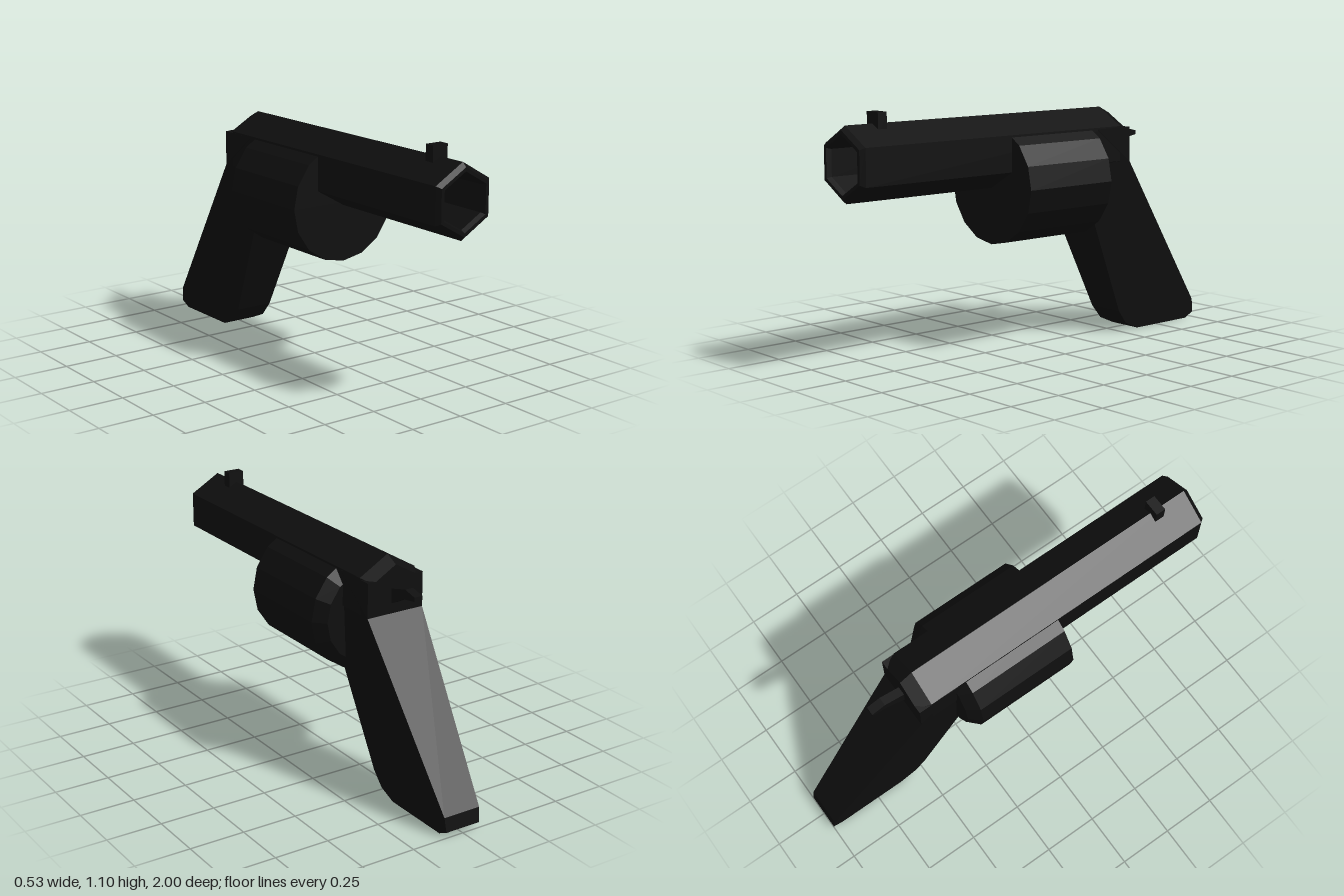
import * as THREE from 'three';

const metal = new THREE.MeshStandardMaterial({ color: 0x0e0e0e, flatShading: true });

function addPart(group, name, geometry) {
  const mesh = new THREE.Mesh(geometry, metal);
  mesh.name = name;
  group.add(mesh);
  return mesh;
}

// Faceted solid turned around the z axis; profile is [radius, z] from rear to front
function turned(profile, sides) {
  const points = profile.map(([r, z]) => new THREE.Vector2(r, z));
  return new THREE.LatheGeometry(points, sides).rotateX(Math.PI / 2);
}

// Side outline of [z, y] corners, extruded across x; halfWidth depends on height
function sideExtrude(outline, halfWidth) {
  const shape = new THREE.Shape(outline.map(([z, y]) => new THREE.Vector2(z, y)));
  const geo = new THREE.ExtrudeGeometry(shape, { depth: 2, bevelEnabled: false });
  geo.translate(0, 0, -1).rotateY(-Math.PI / 2);
  const pos = geo.attributes.position;
  for (let i = 0; i < pos.count; i++) {
    pos.setX(i, pos.getX(i) * halfWidth(pos.getY(i)));
  }
  geo.computeVertexNormals();
  return geo;
}

export function createModel() {
  const group = new THREE.Group();

  // Six-sided barrel and top frame with chamfered ends and a hollow muzzle
  const barrel = addPart(group, 'barrel', turned([
    [0, -0.5], [0.13, -0.5], [0.16, -0.44], [0.16, 0.98], [0.142, 1],
    [0.125, 1], [0.115, 0.98], [0.115, 0.5], [0, 0.5],
  ], 6));
  barrel.position.y = 0.892;

  // Sixteen-sided drum, chamfered at the rear
  const drum = addPart(group, 'drum', turned([
    [0, -0.315], [0.215, -0.315], [0.263, -0.265], [0.263, 0.212], [0, 0.212],
  ], 16));
  drum.position.y = 0.745;

  // Slanted grip, narrowing toward the butt
  addPart(group, 'grip', sideExtrude([
    [-0.3, 0.53], [-0.49, 0.1], [-0.54, 0.035], [-0.62, 0], [-0.95, 0],
    [-1, 0.025], [-0.99, 0.09], [-0.5, 0.81], [-0.5, 0.965], [-0.3, 0.965],
  ], (y) => Math.min(0.083 + 0.0725 * y, 0.139)));

  // Hammer
  addPart(group, 'hammer', sideExtrude([
    [-0.46, 0.91], [-0.46, 0.83], [-0.5, 0.855], [-0.585, 0.9],
    [-0.66, 0.912], [-0.66, 0.93], [-0.595, 0.945],
  ], () => 0.02));

  // Front sight
  const sight = addPart(group, 'frontSight', new THREE.BoxGeometry(0.076, 0.1, 0.045));
  sight.position.set(0, 1.05, 0.822);

  return group;
}
